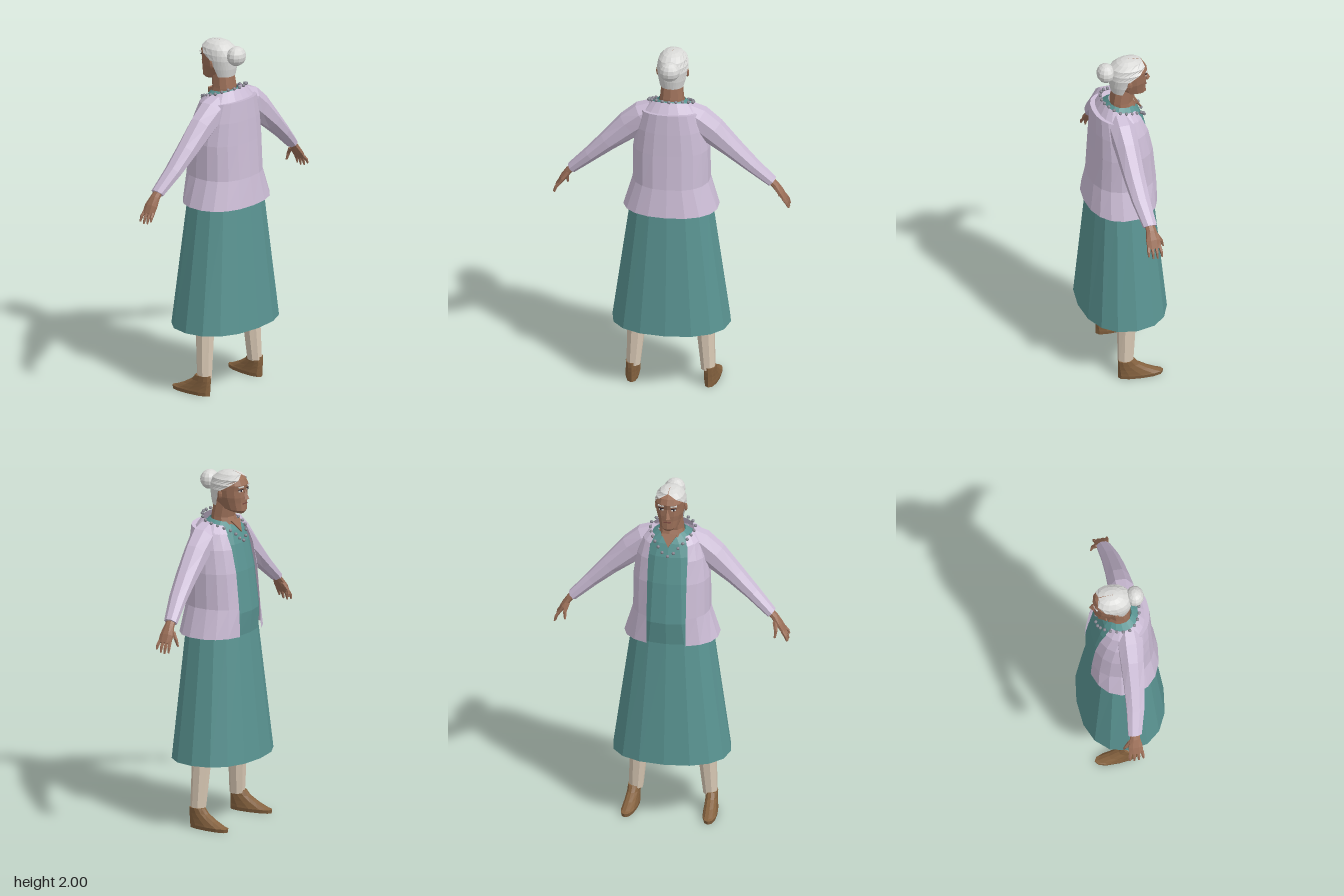
import * as THREE from 'three';

const mat = (name, color, side = THREE.FrontSide) =>
  Object.assign(new THREE.MeshStandardMaterial({ color, flatShading: true, side }), { name });

const POWER = 0.87; // slightly squared ellipse

// Quads between rings of points, with optional end caps
function skin(rings, closed, caps) {
  const n = rings[0].length, pos = rings.flat().flatMap(p => p), idx = [];
  for (let r = 0; r < rings.length - 1; r++) {
    for (let s = 0; s < (closed ? n : n - 1); s++) {
      const a = r * n + s, b = r * n + (s + 1) % n;
      idx.push(a, a + n, b, a + n, b + n, b);
    }
  }
  if (caps) {
    const last = (rings.length - 1) * n;
    for (let s = 1; s < n - 1; s++) idx.push(0, s, s + 1, last, last + s + 1, last + s);
  }
  const g = new THREE.BufferGeometry();
  g.setAttribute('position', new THREE.Float32BufferAttribute(pos, 3));
  g.setIndex(idx);
  const flat = g.toNonIndexed();
  flat.computeVertexNormals();
  return flat;
}

// Horizontal rings: [y at back, half width, z back, z front, y change at front, opening angle]
function loft(rows, n, caps = false) {
  const closed = rows.every(r => !r[5]);
  const f = v => Math.sign(v) * Math.abs(v) ** POWER;
  return skin(rows.map(([y, rx, zb, zf, tilt = 0, a0 = 0]) => {
    const ring = [], count = closed ? n : n + 1;
    for (let i = 0; i < count; i++) {
      const a = a0 + (i / n) * (Math.PI * 2 - 2 * a0);
      ring.push([rx * f(Math.sin(a)), y + tilt * (1 + Math.cos(a)) / 2,
        (zb + zf) / 2 - (zb - zf) / 2 * f(Math.cos(a))]);
    }
    return ring;
  }), closed, caps);
}

// Limb along centre points [x, y, z, radius, radius in z]; s mirrors it
function limb(points, n, s = 1) {
  return skin(points.map((p, i) => {
    const a = points[Math.max(i - 1, 0)], b = points[Math.min(i + 1, points.length - 1)];
    const dx = (b[0] - a[0]) * s, dy = b[1] - a[1], l = Math.hypot(dx, dy);
    return Array.from({ length: n }, (_, k) => {
      const t = -(k + 0.5) / n * Math.PI * 2, c = Math.cos(t) * p[3];
      return [p[0] * s - dy / l * c, p[1] + dx / l * c, p[2] + Math.sin(t) * p[4]];
    });
  }), true, true);
}

export function createModel() {
  const root = new THREE.Group();
  const skinMat = mat('skin', 0x9c7059), hairMat = mat('white hair', 0xd9d9d7, THREE.DoubleSide);
  const jacketMat = mat('lilac wool', 0xccbdd6, THREE.DoubleSide);
  const dressMat = mat('teal cloth', 0x5a9492, THREE.DoubleSide);
  const stockingMat = mat('stocking', 0xd8c8b4), shoeMat = mat('brown leather', 0x85623f);
  const beadMat = mat('grey bead', 0x85858f), darkMat = mat('dark eye', 0x30262a);
  const eyeMat = mat('eye white', 0xe6e0da), lipMat = mat('lip', 0x7d4c42);
  const add = (name, geo, m, parent = root) => {
    const mesh = new THREE.Mesh(geo, m);
    mesh.name = name;
    parent.add(mesh);
    return mesh;
  };

  // Dress: open skirt and bodice
  add('dress', loft([
    [0.38, 0.33, 0.245, -0.24], [1.09, 0.23, 0.185, -0.173], [1.22, 0.2, 0.165, -0.188],
    [1.45, 0.185, 0.15, -0.16], [1.6, 0.165, 0.14, -0.128], [1.69, 0.13, 0.11, -0.1, -0.02],
    [1.735, 0.075, 0.065, -0.068, -0.02],
  ], 16), dressMat);

  // Open jacket with a raised edge across the back
  const gap = (w, x = 0.11) => Math.asin((x / w) ** (1 / POWER));
  add('jacket', loft([
    [1.09, 0.265, 0.212, -0.19, 0, gap(0.265)], [1.25, 0.215, 0.188, -0.19, 0, gap(0.215)],
    [1.45, 0.213, 0.176, -0.17, 0, gap(0.213)], [1.58, 0.195, 0.17, -0.145, 0, gap(0.195)],
    [1.695, 0.165, 0.163, -0.115, -0.04, gap(0.165, 0.105)],
    [1.69, 0.16, 0.135, -0.11, -0.03, gap(0.16, 0.1)],
    [1.745, 0.118, 0.1, -0.08, -0.05, gap(0.118, 0.085)],
  ], 16), jacketMat);

  // Neck and bare skin at the neckline
  add('neck', loft([[1.66, 0.08, 0.06, -0.1], [1.74, 0.066, 0.06, -0.066],
    [1.83, 0.058, 0.045, -0.08]], 10, true), skinMat);
  const vNeck = new THREE.Shape([[0, 0], [-0.045, 0.075], [0.045, 0.075]].map(p => new THREE.Vector2(...p)));
  const chest = add('neckline', new THREE.ExtrudeGeometry(vNeck, { depth: 0.008, bevelEnabled: false }), skinMat);
  chest.position.set(0, 1.66, -0.122);
  chest.rotation.x = 0.55;

  // Head
  const head = new THREE.Group();
  head.name = 'head';
  root.add(head);
  add('face', loft([
    [1.79, 0.035, 0.0, -0.13, -0.025], [1.8, 0.055, 0.02, -0.145, -0.018], [1.83, 0.067, 0.042, -0.143],
    [1.86, 0.076, 0.054, -0.145], [1.9, 0.08, 0.058, -0.143], [1.93, 0.08, 0.055, -0.15],
    [1.96, 0.07, 0.04, -0.136], [1.982, 0.045, 0.01, -0.1],
  ], 14, true), skinMat, head);
  add('hair', loft([
    [1.805, 0.07, 0.055, -0.13, 0, 2.0], [1.85, 0.08, 0.063, -0.148, 0, 1.85],
    [1.9, 0.086, 0.067, -0.148, 0, 1.6], [1.93, 0.085, 0.064, -0.153, 0, 1.2],
    [1.96, 0.077, 0.052, -0.143, 0, 0.6], [1.985, 0.055, 0.022, -0.118, 0, 0.02],
    [1.996, 0.032, -0.005, -0.085, 0, 0.02], [2.0, 0.002, -0.035, -0.04, 0, 0.02],
  ], 14), hairMat, head);
  const bun = add('hairBun', new THREE.SphereGeometry(1, 12, 8), hairMat, head);
  bun.scale.set(0.058, 0.055, 0.051);
  bun.position.set(0, 1.93, 0.085);
  const nose = add('nose', new THREE.ConeGeometry(0.02, 0.06, 4), skinMat, head);
  nose.position.set(0, 1.878, -0.146);
  nose.rotation.x = 0.15;
  add('mouth', new THREE.BoxGeometry(0.04, 0.006, 0.006), lipMat, head).position.set(0, 1.824, -0.142);
  for (const s of [1, -1]) {
    const eye = new THREE.Group();
    eye.name = s > 0 ? 'leftEye' : 'rightEye';
    eye.position.set(s * 0.035, 1.9, -0.136);
    eye.rotation.y = -s * 0.35;
    head.add(eye);
    add('eyeWhite', new THREE.BoxGeometry(0.026, 0.01, 0.006), eyeMat, eye);
    add('iris', new THREE.BoxGeometry(0.01, 0.01, 0.008), darkMat, eye);
    add('eyeLid', new THREE.BoxGeometry(0.03, 0.004, 0.009), darkMat, eye).position.y = 0.007;
    add('eyebrow', new THREE.BoxGeometry(0.036, 0.007, 0.009), hairMat, eye).position.set(0, 0.023, -0.003);
    const ear = add('ear', new THREE.SphereGeometry(1, 6, 5), skinMat, head);
    ear.scale.set(0.009, 0.026, 0.015);
    ear.position.set(s * 0.083, 1.875, -0.03);
  }

  // Bead necklace
  const half = [[0.07, 1.752, 0.09], [0.122, 1.73, 0.04], [0.112, 1.705, -0.03], [0.07, 1.672, -0.105]];
  const v = (p, s) => new THREE.Vector3(p[0] * s, p[1], p[2]);
  const string = new THREE.CatmullRomCurve3([v([0, 1.752, 0.108], 1), ...half.map(p => v(p, 1)),
    v([0, 1.61, -0.133], 1), ...half.slice().reverse().map(p => v(p, -1))], true);
  const necklace = new THREE.Group();
  necklace.name = 'necklace';
  root.add(necklace);
  for (const p of string.getSpacedPoints(22).slice(0, 22)) {
    add('bead', new THREE.IcosahedronGeometry(0.0095, 1), beadMat, necklace).position.copy(p);
  }

  // Arms, legs and shoes on both sides
  for (const s of [1, -1]) {
    const side = s > 0 ? 'left' : 'right';
    add(side + 'Sleeve', limb([
      [0.09, 1.66, 0.035, 0.07, 0.065], [0.15, 1.63, 0.035, 0.083, 0.075], [0.23, 1.565, 0.032, 0.08, 0.068],
      [0.35, 1.455, 0.027, 0.057, 0.06], [0.45, 1.36, 0.018, 0.042, 0.052], [0.558, 1.257, -0.002, 0.03, 0.04],
    ], 8, s), jacketMat);

    const hand = new THREE.Group();
    hand.name = side + 'Hand';
    root.add(hand);
    add('palm', limb([[0.54, 1.275, 0, 0.02, 0.026], [0.575, 1.237, -0.004, 0.02, 0.03],
      [0.605, 1.195, -0.006, 0.018, 0.042], [0.63, 1.155, -0.006, 0.012, 0.042]], 8, s), skinMat, hand);
    for (let i = 0; i < 4; i++) {
      const z = 0.026 - i * 0.021, drop = [0.02, 0.004, 0, 0.008][i];
      add('finger', limb([[0.624, 1.165, z, 0.01, 0.01], [0.643, 1.132 + drop / 2, z * 1.15, 0.009, 0.009],
        [0.652, 1.1 + drop, z * 1.2, 0.005, 0.005]], 5, s), skinMat, hand);
    }
    add('thumb', limb([[0.582, 1.215, -0.03, 0.014, 0.014], [0.592, 1.175, -0.056, 0.011, 0.011],
      [0.588, 1.135, -0.067, 0.006, 0.006]], 5, s), skinMat, hand);

    add(side + 'Leg', limb([[0.12, 0.95, 0.01, 0.085, 0.085], [0.165, 0.6, 0.015, 0.065, 0.065],
      [0.19, 0.38, 0.022, 0.055, 0.054], [0.208, 0.1, 0.034, 0.04, 0.044]], 8, s), stockingMat);
    const shoe = add(side + 'Shoe', loft([
      [0, 0.037, 0.08, -0.172], [0.02, 0.041, 0.08, -0.176], [0.035, 0.039, 0.08, -0.155, -0.01],
      [0.06, 0.036, 0.08, -0.095, -0.008], [0.085, 0.034, 0.08, -0.04], [0.115, 0.034, 0.079, -0.014],
    ], 12, true), shoeMat);
    shoe.position.x = s * 0.22;
    shoe.rotation.y = -s * 0.08;
  }
  return root;
}
